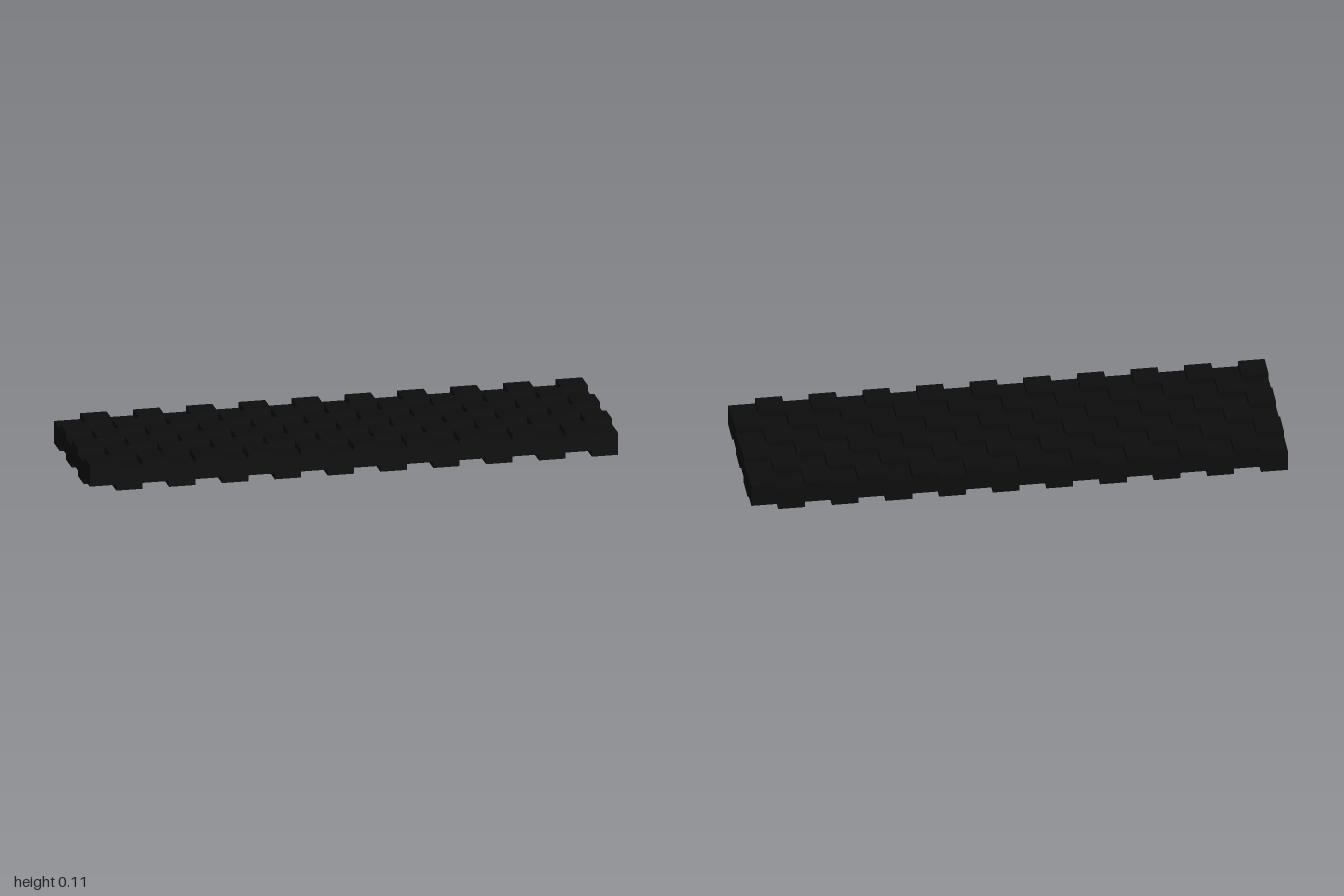
import * as THREE from 'three';

export function createModel() {
  const group = new THREE.Group();
  group.name = 'checkeredSlab';
  const material = new THREE.MeshStandardMaterial({ color: 0x0d0d0d });

  const cell = 0.1, columns = 20, rows = 6;
  const blockHeight = 0.085, step = 0.023;
  const block = new THREE.BoxGeometry(cell, blockHeight, cell);

  // Blocks alternate between a raised and a lowered level, like a checkerboard
  for (let i = 0; i < columns; i++) {
    for (let j = 0; j < rows; j++) {
      // The front left and back right corners are raised
      const raised = (i + j) % 2 === 1;
      const mesh = new THREE.Mesh(block, material);
      mesh.name = raised ? 'raisedBlock' : 'loweredBlock';
      mesh.position.set(
        (i + 0.5 - columns / 2) * cell,
        blockHeight / 2 + (raised ? step : 0),
        (j + 0.5 - rows / 2) * cell
      );
      group.add(mesh);
    }
  }
  return group;
}
